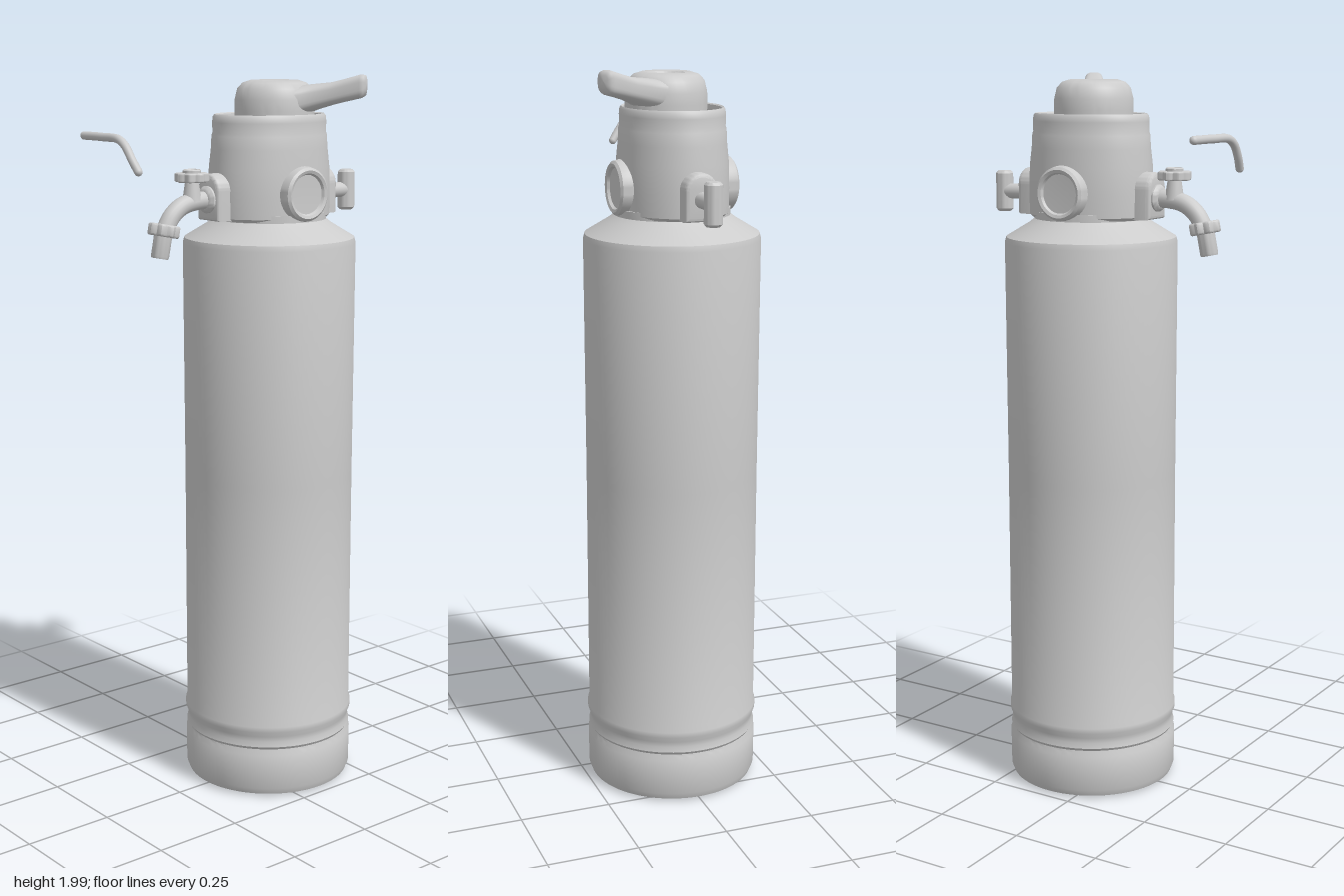
import * as THREE from 'three';
import { toCreasedNormals } from 'three/addons/utils/BufferGeometryUtils.js';

const CX = 0.075; // axis of the bottle
const material = new THREE.MeshStandardMaterial({ color: 0xcccccc, side: THREE.DoubleSide });

const v2 = (list) => list.map(([a, b]) => new THREE.Vector2(a, b));

function add(parent, name, geometry, x = 0, y = 0, z = 0) {
  const mesh = new THREE.Mesh(geometry, material);
  mesh.name = name;
  mesh.position.set(x, y, z);
  parent.add(mesh);
  return mesh;
}

const lathe = (profile, sides = 64) => toCreasedNormals(new THREE.LatheGeometry(v2(profile), sides), 0.6);

// Scalloped hand wheel lying flat, centred on its own height
function wheelGeometry(radius, height) {
  const points = [];
  for (let i = 0; i < 64; i++) {
    const a = (i / 64) * Math.PI * 2;
    const r = radius - 0.009 + 0.004 * Math.cos(a * 8);
    points.push(new THREE.Vector2(r * Math.cos(a), r * Math.sin(a)));
  }
  const g = new THREE.ExtrudeGeometry(new THREE.Shape(points), {
    depth: height - 0.01, bevelThickness: 0.005, bevelSize: 0.005, bevelSegments: 3,
  });
  g.translate(0, 0, -(height - 0.01) / 2).rotateX(-Math.PI / 2);
  return toCreasedNormals(g, 0.7);
}

// Arch-topped pad, extruded along +x
function archGeometry(halfWidth, height, depth) {
  const s = new THREE.Shape();
  s.moveTo(-halfWidth, 0);
  s.lineTo(halfWidth, 0);
  s.lineTo(halfWidth, height - halfWidth);
  s.absarc(0, height - halfWidth, halfWidth, 0, Math.PI, false);
  s.closePath();
  const g = new THREE.ExtrudeGeometry(s, {
    depth, bevelThickness: 0.012, bevelSize: 0.01, bevelOffset: -0.01, bevelSegments: 3, curveSegments: 20,
  });
  return toCreasedNormals(g.rotateY(Math.PI / 2), 0.6);
}

// Loft of rounded-box sections [distance, half width, centre y, half height] along a flat direction
function armGeometry(sections, dx, dz) {
  const n = 32, pos = [], index = [];
  const round = (v) => Math.sign(v) * Math.pow(Math.abs(v), 0.65);
  sections.forEach(([s, w, y, h], k) => {
    for (let i = 0; i < n; i++) {
      const a = (i / n) * Math.PI * 2;
      const u = w * round(Math.cos(a));
      pos.push(dx * s + dz * u, y + h * round(Math.sin(a)), dz * s - dx * u);
      if (k < sections.length - 1) {
        const p = k * n + i, q = k * n + ((i + 1) % n);
        index.push(p, q, p + n, q, q + n, p + n);
      }
    }
  });
  const g = new THREE.BufferGeometry();
  g.setAttribute('position', new THREE.Float32BufferAttribute(pos, 3));
  g.setIndex(index);
  g.computeVertexNormals();
  return g;
}

const tube = (points, radius) =>
  new THREE.TubeGeometry(new THREE.CatmullRomCurve3(points.map((p) => new THREE.Vector3(...p))), 40, radius, 16);

export function createModel() {
  const model = new THREE.Group();
  model.name = 'tapCylinder';

  // Bottle with banded foot and sloping shoulder
  add(model, 'bottle', lathe([
    [0, 0.005], [0.215, 0.005], [0.23, 0.012], [0.237, 0.03], [0.238, 0.13], [0.232, 0.14],
    [0.231, 0.147], [0.236, 0.155], [0.232, 0.17], [0.233, 0.185], [0.239, 0.2], [0.239, 0.215],
    [0.235, 0.225], [0.235, 0.9], [0.237, 1.545], [0.233, 1.56], [0.17, 1.598], [0.155, 1.61], [0.155, 1.63], [0, 1.63],
  ], 96), CX);

  // Oval head with a sunken top
  const head = add(model, 'head', lathe([
    [0, 1.612], [0.168, 1.612], [0.177, 1.62], [0.178, 1.68], [0.176, 1.75], [0.17, 1.8], [0.168, 1.835],
    [0.165, 1.843], [0.166, 1.87], [0.164, 1.885], [0.159, 1.891], [0.153, 1.888], [0.15, 1.875], [0.148, 1.845], [0, 1.845],
  ], 80), CX);
  head.scale.z = 0.82;

  // Round dished ports on front and back
  for (const [name, turn] of [['frontPort', 0], ['backPort', Math.PI]]) {
    const g = lathe([
      [0.074, 0.05], [0.074, 0.145], [0.071, 0.16], [0.064, 0.166], [0.056, 0.163], [0.052, 0.156], [0, 0.154],
    ], 48);
    add(model, name, g.rotateX(Math.PI / 2).rotateY(turn), CX, 1.684);
  }

  // Selector: round cap with a thumb dimple and a swept arm
  const selector = new THREE.Group();
  selector.name = 'selector';
  selector.position.set(0.077, 0, 0.018);
  model.add(selector);
  add(selector, 'selectorCap', lathe([
    [0.106, 1.84], [0.108, 1.9], [0.107, 1.93], [0.1, 1.958], [0.086, 1.973], [0.064, 1.98],
    [0.05, 1.977], [0.043, 1.969], [0.025, 1.966], [0, 1.965],
  ]));
  add(selector, 'selectorArm', armGeometry([
    [0.03, 0.0, 1.92, 0.0], [0.03, 0.094, 1.92, 0.035], [0.06, 0.082, 1.925, 0.038], [0.09, 0.062, 1.93, 0.038],
    [0.12, 0.047, 1.937, 0.034], [0.16, 0.036, 1.945, 0.03], [0.2, 0.03, 1.955, 0.03],
    [0.24, 0.026, 1.965, 0.031], [0.25, 0.023, 1.967, 0.027], [0.254, 0.012, 1.968, 0.015], [0.255, 0, 1.968, 0],
  ], 0.535, 0.845));

  // Arched side pads
  add(model, 'leftPad', archGeometry(0.045, 0.125, 0.07), 0.205, 1.615, -0.003);
  add(model, 'rightPad', archGeometry(0.045, 0.125, 0.07), -0.055, 1.615, -0.003).scale.x = -1;

  // Bar-handled valve on the left side
  const valve = new THREE.Group();
  valve.name = 'sideValve';
  valve.position.set(0, 1.672, -0.003);
  model.add(valve);
  add(valve, 'valveStem', new THREE.CylinderGeometry(0.021, 0.021, 0.1, 24).rotateZ(Math.PI / 2), 0.31);
  add(valve, 'valveHandle', lathe([
    [0, -0.056], [0.018, -0.056], [0.024, -0.049], [0.024, 0.049], [0.018, 0.056], [0, 0.056],
  ], 28), 0.361);

  // Tap on the right side: collar, curved spout, hand wheel and outlet
  const tap = new THREE.Group();
  tap.name = 'tap';
  tap.position.z = -0.003;
  model.add(tap);
  add(tap, 'tapCollar', lathe([
    [0.036, -0.03], [0.036, 0.012], [0.031, 0.018], [0.024, 0.022], [0, 0.022],
  ], 32).rotateZ(Math.PI / 2), -0.13, 1.672);
  add(tap, 'spout', tube([
    [-0.12, 1.67, 0], [-0.17, 1.67, 0], [-0.22, 1.66, 0], [-0.255, 1.635, 0], [-0.277, 1.6, 0], [-0.283, 1.585, 0],
  ], 0.024));
  add(tap, 'wheelStem', new THREE.CylinderGeometry(0.017, 0.026, 0.06, 24), -0.188, 1.7);
  add(tap, 'tapWheel', wheelGeometry(0.046, 0.024), -0.188, 1.733);
  add(tap, 'wheelHub', lathe([
    [0.024, 0], [0.024, 0.008], [0.021, 0.011], [0.017, 0.008], [0.015, 0.004], [0, 0.004],
  ], 28), -0.188, 1.743);
  const outlet = new THREE.Group();
  outlet.name = 'outlet';
  outlet.position.set(-0.281, 1.6, 0);
  outlet.rotation.z = -0.2;
  tap.add(outlet);
  add(outlet, 'outletNut', wheelGeometry(0.042, 0.032));
  add(outlet, 'outletNozzle', lathe([
    [0, -0.062], [0.014, -0.062], [0.016, -0.074], [0.022, -0.074], [0.024, -0.068], [0.024, 0],
  ], 28));

  // Detached bent rod beside the head, with rounded ends
  const rod = [[-0.371, 1.838, -0.23], [-0.373, 1.838, -0.14], [-0.378, 1.835, -0.06], [-0.379, 1.818, -0.03],
    [-0.377, 1.785, -0.005], [-0.372, 1.757, 0.014]];
  add(model, 'bentRod', tube(rod, 0.011));
  for (const p of [rod[0], rod[rod.length - 1]]) add(model, 'rodEnd', new THREE.SphereGeometry(0.011, 16, 12), ...p);

  return model;
}
